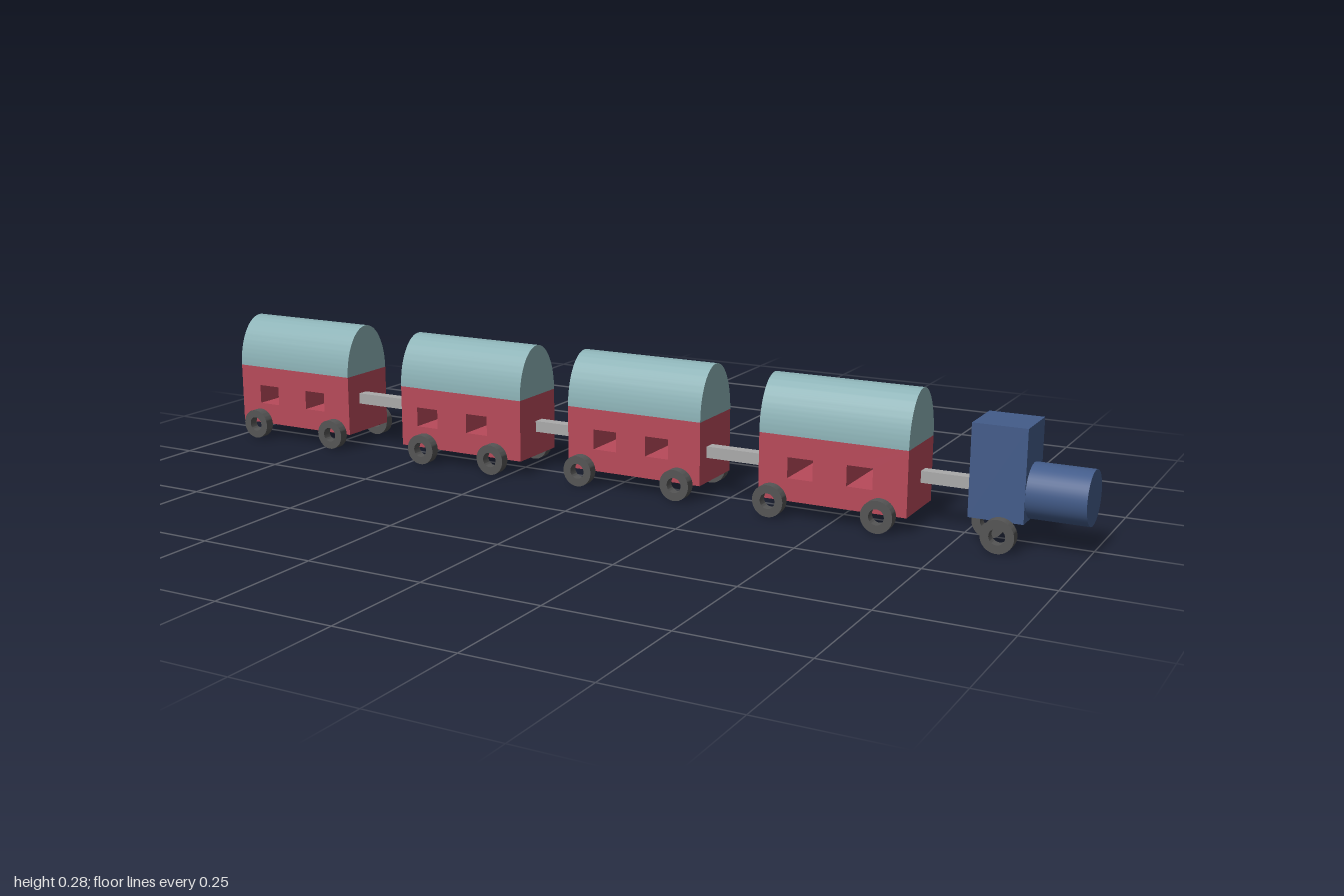
import * as THREE from 'three';
import { toCreasedNormals } from 'three/addons/utils/BufferGeometryUtils.js';

const paint = (color) => new THREE.MeshStandardMaterial({ color });
const RED = paint(0xb84a5a), TEAL = paint(0x8cb2b6), BLUE = paint(0x435c8a);
const DARK = paint(0x555555), STEEL = paint(0xaaaaaa);

const CAR_LENGTH = 0.312, CAR_WIDTH = 0.142, FLOOR = 0.033, EAVES = 0.167;
const WHEEL_RADIUS = 0.033, WHEEL_WIDTH = 0.021;

function addMesh(parent, name, geometry, material, x = 0, y = 0, z = 0) {
  const mesh = new THREE.Mesh(geometry, material);
  mesh.name = name;
  mesh.position.set(x, y, z);
  parent.add(mesh);
  return mesh;
}

function extrude(shape, depth) {
  const geometry = new THREE.ExtrudeGeometry(shape, { depth, bevelEnabled: false, curveSegments: 32 });
  geometry.translate(0, 0, -depth / 2);
  return toCreasedNormals(geometry, 0.6);
}

function rectangle(target, x0, y0, x1, y1) {
  target.moveTo(x0, y0);
  target.lineTo(x1, y0);
  target.lineTo(x1, y1);
  target.lineTo(x0, y1);
  target.closePath();
  return target;
}

// Ring-shaped wheel with an open middle
function wheelGeometry() {
  const ring = new THREE.Shape().absarc(0, 0, WHEEL_RADIUS, 0, Math.PI * 2);
  ring.holes.push(new THREE.Path().absarc(0, 0, 0.016, 0, Math.PI * 2, true));
  return extrude(ring, WHEEL_WIDTH);
}

// Half-elliptical barrel roof running along x
function roofGeometry() {
  const arch = new THREE.Shape();
  arch.absellipse(0, 0, CAR_WIDTH / 2, 0.11, 0, Math.PI, false, 0);
  arch.closePath();
  return extrude(arch, CAR_LENGTH).rotateY(Math.PI / 2);
}

// Solid body pierced from side to side by two windows
function bodyGeometry(windows) {
  const side = rectangle(new THREE.Shape(), 0, FLOOR, CAR_LENGTH, EAVES);
  for (const x of windows) side.holes.push(rectangle(new THREE.Path(), x, 0.08, x + 0.054, 0.123));
  return extrude(side, CAR_WIDTH);
}

// x: rear end, z: centre line, front/back: x of the wheels on each side
const CARS = [
  { x: -1.0, z: -0.012, windows: [0.053, 0.187], front: [-0.948, -0.73], back: [-0.915, -0.722] },
  { x: -0.53, z: 0, windows: [0.042, 0.172], front: [-0.468, -0.285], back: [-0.468, -0.272] },
  { x: -0.105, z: -0.012, windows: [0.062, 0.185], front: [-0.072, 0.158], back: [-0.063, 0.163] },
  { x: 0.344, z: 0, windows: [0.062, 0.187], front: [0.373, 0.602], back: [0.378, 0.602] },
];

// Coupling bars: start, end, height and sideways position
const BARS = [
  [-0.72, -0.50, 0.111, 0.006],
  [-0.25, -0.08, 0.098, -0.005],
  [0.18, 0.37, 0.098, 0.015],
  [0.63, 0.845, 0.098, -0.0165],
];

export function createModel() {
  const train = new THREE.Group();
  train.name = 'train';
  const wheel = wheelGeometry();
  const roof = roofGeometry();

  CARS.forEach(({ x, z, windows, front, back }, i) => {
    const car = new THREE.Group();
    car.name = `carriage${i + 1}`;
    train.add(car);
    addMesh(car, 'body', bodyGeometry(windows), RED, x, 0, z);
    addMesh(car, 'roof', roof, TEAL, x + CAR_LENGTH / 2, EAVES, z);
    const reach = (CAR_WIDTH + WHEEL_WIDTH) / 2;
    for (const wx of front) addMesh(car, 'frontWheel', wheel, DARK, wx, WHEEL_RADIUS, z + reach);
    for (const wx of back) addMesh(car, 'backWheel', wheel, DARK, wx, WHEEL_RADIUS, z - reach);
  });

  BARS.forEach(([x0, x1, y, z], i) => {
    const bar = new THREE.BoxGeometry(x1 - x0, 0.024, 0.025);
    addMesh(train, `coupling${i + 1}`, bar, STEEL, (x0 + x1) / 2, y, z);
  });

  // Engine: tall cab, round boiler and two wheels
  const engine = new THREE.Group();
  engine.name = 'engine';
  train.add(engine);
  addMesh(engine, 'cab', new THREE.BoxGeometry(0.107, 0.183, 0.109), BLUE, 0.8325, 0.1485, 0.0275);
  const boiler = new THREE.CylinderGeometry(0.054, 0.054, 0.116, 48).rotateZ(Math.PI / 2);
  addMesh(engine, 'boiler', boiler, BLUE, 0.942, 0.111, 0.0275);
  addMesh(engine, 'frontWheel', wheel, DARK, 0.843, WHEEL_RADIUS, 0.0925);
  addMesh(engine, 'backWheel', wheel, DARK, 0.8, WHEEL_RADIUS, 0.006);

  return train;
}
